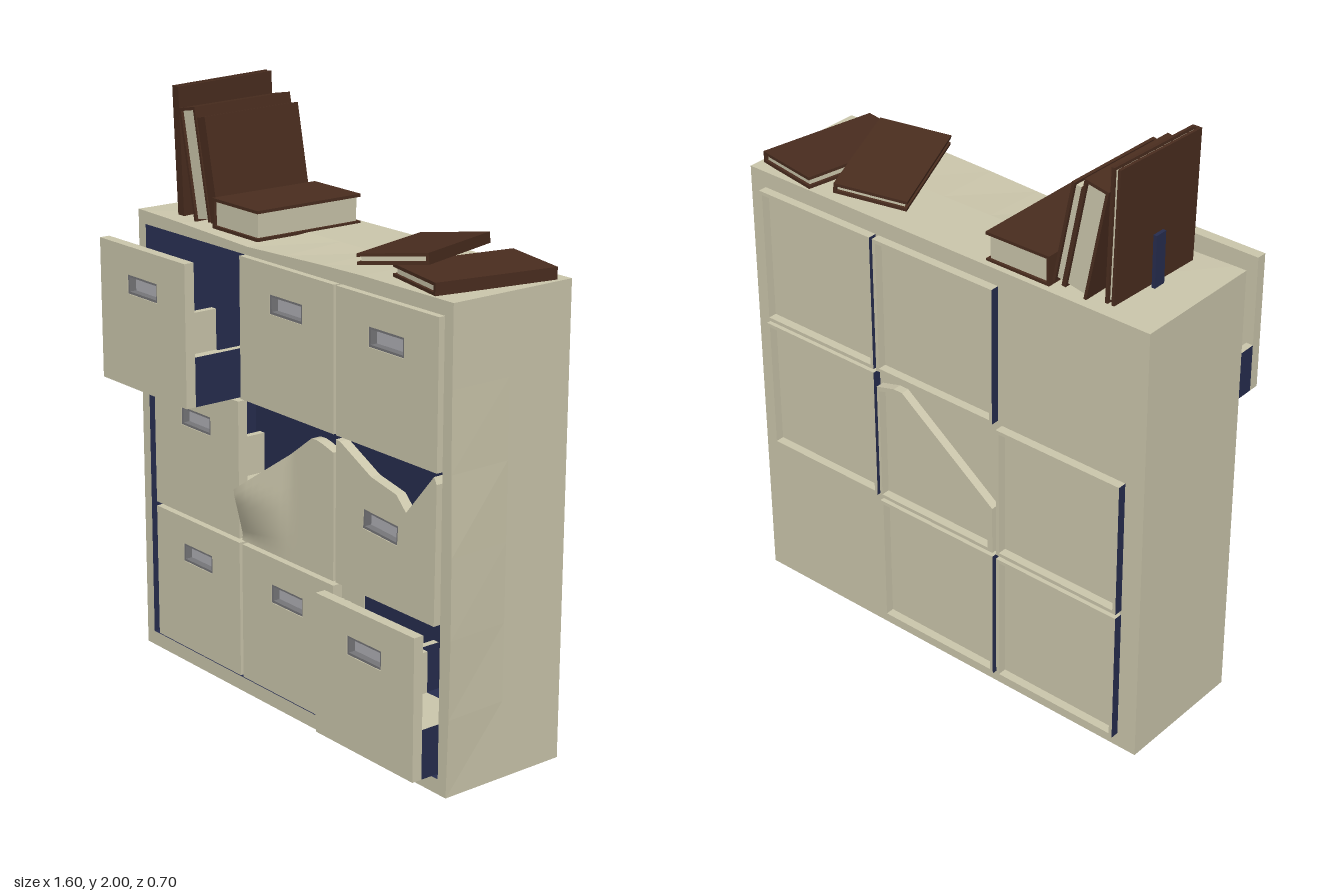
import * as THREE from 'three';

const mat = (color, flatShading = true) => new THREE.MeshStandardMaterial({ color, flatShading });
const beige = mat(0xcdc8ad), smoothBeige = mat(0xcdc8ad, false);
const blue = mat(0x272d4f), brown = mat(0x4a2d1f), grey = mat(0xb0b0b6), darkGrey = mat(0x77777a);

function add(parent, name, geometry, material, x = 0, y = 0, z = 0) {
  const mesh = new THREE.Mesh(geometry, material);
  mesh.name = name;
  mesh.position.set(x, y, z);
  parent.add(mesh);
  return mesh;
}

// Box given by its limits; `blueFaces` lists the blue sides (+x, -x, +y, -y, +z, -z = 0..5)
function slab(parent, name, [x0, x1], [y0, y1], [z0, z1], blueFaces = [], seg = [1, 1, 1]) {
  const mats = [0, 1, 2, 3, 4, 5].map((i) => (blueFaces.includes(i) ? blue : beige));
  return add(parent, name, new THREE.BoxGeometry(x1 - x0, y1 - y0, z1 - z0, ...seg), mats,
    (x0 + x1) / 2, (y0 + y1) / 2, (z0 + z1) / 2);
}

function warp(mesh, rule) {
  const p = mesh.geometry.attributes.position, v = new THREE.Vector3();
  for (let i = 0; i < p.count; i++) {
    rule(v.fromBufferAttribute(p, i));
    p.setXYZ(i, v.x, v.y, v.z);
  }
  mesh.geometry.computeVertexNormals();
}

// Corners of a rectangle, optionally turned about its centre
function rect(cx, cy, w, h, turn = 0) {
  return [[-1, -1], [1, -1], [1, 1], [-1, 1]].map(([i, j]) =>
    new THREE.Vector2(i * w / 2, j * h / 2).rotateAround(new THREE.Vector2(), turn).add(new THREE.Vector2(cx, cy)));
}

function plate(points, depth, holes = []) {
  const shape = new THREE.Shape(points);
  holes.forEach((h) => shape.holes.push(new THREE.Path(h)));
  return new THREE.ExtrudeGeometry(shape, { depth, bevelEnabled: false });
}

const toPoints = (list) => list.map(([x, y]) => new THREE.Vector2(x, y));
const COLS = [[-0.73, -0.255], [-0.24, 0.238], [0.25, 0.722]];
const ROWS = [[1.025, 1.5], [0.54, 1.012], [0.052, 0.525]];
const BACK = -0.35, WALL = -0.32, FRONT = 0.146, THICK = 0.036;

// Torn edges of the two broken drawers
const tearMiddle = toPoints([[-0.24, 0.71], [-0.2, 0.74], [0.07, 0.94], [0.13, 0.985], [0.165, 0.985], [0.238, 0.965]]);
const tornRight = toPoints([[0.25, 0.54], [0.718, 0.54], [0.722, 0.99], [0.71, 1.012], [0.585, 0.865],
  [0.54, 0.91], [0.42, 0.935], [0.27, 1.01], [0.25, 1.012]]);

function tearHeight(x) {
  const i = Math.max(1, tearMiddle.findIndex((p) => p.x >= x - 1e-6));
  const a = tearMiddle[i - 1], b = tearMiddle[i];
  return THREE.MathUtils.mapLinear(x, a.x, b.x, a.y, b.y);
}

// Torn front whose free corner curls outwards
function bentFront(parent, z) {
  const front = add(parent, 'bentDrawerFront', new THREE.BoxGeometry(1, 1, THICK, 16, 10, 1), smoothBeige, 0, 0, z);
  const clamp = (t) => THREE.MathUtils.clamp(t, 0, 1);
  warp(front, (v) => {
    const h = v.y + 0.5;
    v.x = THREE.MathUtils.lerp(-0.24 + 0.04 * h, 0.238, v.x + 0.5);
    v.y = 0.54 + h * (tearHeight(v.x) - 0.54);
    v.z += 0.062 * clamp((0.02 - v.x) / 0.21) * clamp((v.y - 0.56) / 0.17);
  });
}

function drawer(col, row, pull) {
  const g = new THREE.Group();
  g.name = `drawer${row * 3 + col + 1}`;
  const [x0, x1] = COLS[col], [y0, y1] = ROWS[row];
  const broken = row === 1 && col === 1, torn = row === 1 && col === 2;
  const cx = (x0 + x1) / 2, zf = FRONT - THICK;

  if (broken) {
    bentFront(g, FRONT - THICK / 2);
  } else {
    // Front with a recessed label holder
    const outline = torn ? tornRight : rect(cx, (y0 + y1) / 2, x1 - x0, y1 - y0);
    const lx = torn ? 0.465 : cx, ly = torn ? 0.785 : y0 + 0.348, turn = torn ? -0.07 : 0;
    const outer = rect(lx, ly, 0.165, 0.064, turn), inner = rect(lx, ly, 0.149, 0.048, turn);
    add(g, 'drawerFront', plate(outline, THICK, [outer]), beige, 0, 0, zf);
    add(g, 'labelFrame', plate(outer, 0.025, [inner]), darkGrey, 0, 0, zf + 0.008);
    add(g, 'label', plate(outer, 0.008), grey, 0, 0, zf);
  }

  // Tray: floor and low sides
  const h = 0.165, t = 0.025, inside = [WALL + 0.02, zf];
  slab(g, 'trayFloor', [x0 + t, x1 - t], [y0, y0 + 0.02], inside, [3]);
  slab(g, 'traySide', [x0, x0 + t], [y0, y0 + h], inside, [1]);
  slab(g, 'traySide', [x1 - t, x1], [y0, y0 + h], inside, [0]);

  // Rim standing out of the cabinet's back behind each closed drawer
  const w = 0.012, rimZ = [BACK, WALL + 0.005];
  if (broken) {
    const centre = new THREE.Vector2(0.08, 0.74);
    const edge = [...toPoints([[0.238, 0.54], [-0.24, 0.54]]), ...tearMiddle].reverse();
    const hole = edge.map((p) => p.clone().lerp(centre, 0.06));
    add(g, 'tornRim', plate(edge, rimZ[1] - BACK, [hole]), beige, 0, 0, BACK);
  } else if (!pull) {
    slab(g, 'rimSide', [x0, x0 + w], [y0, y1], rimZ, [1]);
    slab(g, 'rimSide', [x1 - w, x1], [y0, y1], rimZ, col === 2 ? [] : [0]);
    slab(g, 'rimBottom', [x0 + w, x1 - w], [y0, y0 + w], rimZ);
    slab(g, 'rimTop', [x0 + w, x1 - w], [y1 - w, y1], rimZ);
  }
  g.position.z = pull;
  return g;
}

// Book: thickness along `normal`, spine facing `spine`; then turned by rx, ry and rz
function book(name, [T, W, L], spine, normal, pos, [rx, ry, rz]) {
  const g = new THREE.Group(), body = new THREE.Group(), c = 0.01;
  g.name = name;
  body.name = 'bookBody';
  for (const s of [-1, 1]) add(body, 'cover', new THREE.BoxGeometry(W, c, L), brown, 0, s * (T - c) / 2, 0);
  add(body, 'spine', new THREE.BoxGeometry(c, T - 2 * c, L), brown, -(W - c) / 2, 0, 0);
  add(body, 'pages', new THREE.BoxGeometry(W - c - 0.01, T - 2 * c, L - 0.02), beige, c / 2 - 0.005, 0, 0);
  const X = new THREE.Vector3(...spine).negate(), Y = new THREE.Vector3(...normal);
  body.quaternion.setFromRotationMatrix(new THREE.Matrix4().makeBasis(X, Y, X.clone().cross(Y)));
  g.add(body);
  g.rotation.set(rx, ry, rz, 'ZYX');
  g.position.set(...pos);
  return g;
}

export function createModel() {
  const model = new THREE.Group();
  model.name = 'drawerCabinet';

  // Cabinet shell, beige outside and blue inside
  const cabinet = new THREE.Group();
  cabinet.name = 'cabinet';
  model.add(cabinet);
  const inZ = [-0.305, 0.147];
  slab(cabinet, 'rightSide', [-0.8, -0.76], [0, 1.555], inZ, [0]);
  const side = slab(cabinet, 'leftSide', [0.748, 0.785], [0, 1.555], inZ, [1], [1, 6, 2]);
  warp(side, (v) => { // worn, slightly bulging front edge
    const y = v.y + 0.7775;
    if (v.x > 0 && v.z > 0.1 && y < 1.1) v.x += 0.011 * Math.sin(Math.PI * y / 1.1);
  });
  const top = slab(cabinet, 'top', [-0.76, 0.748], [1.51, 1.555], inZ, [3], [8, 1, 2]);
  warp(top, (v) => { // dented front edge
    if (v.y > 0 && v.z > 0.1) v.y -= 0.018 * Math.max(0, 1 - Math.abs(v.x + 0.19) / 0.5);
  });
  slab(cabinet, 'base', [-0.76, 0.748], [0, 0.05], inZ, [2]);
  slab(cabinet, 'backWall', [-0.8, 0.785], [0, 1.555], [WALL, inZ[0]], [4]);
  slab(cabinet, 'backPatch', [-0.76, -0.15], [0.05, 0.5], [-0.305, -0.3]);

  // Nine drawers, two of them pulled out
  for (let row = 0; row < 3; row++) {
    for (let col = 0; col < 3; col++) {
      const pull = row === 0 && col === 0 ? 0.203 : row === 2 && col === 2 ? 0.08 : 0;
      model.add(drawer(col, row, pull));
    }
  }

  // Books on top
  const px = [1, 0, 0], py = [0, 1, 0], pz = [0, 0, 1], nx = [-1, 0, 0];
  model.add(
    book('uprightBook', [0.033, 0.38, 0.43], pz, px, [-0.627, 1.7775, -0.087], [0.035, 0, 0]),
    book('leaningThickBook', [0.088, 0.375, 0.39], py, px, [-0.535, 1.743, -0.09], [0.02, 0, 0.18]),
    book('leaningThinBook', [0.045, 0.38, 0.345], pz, px, [-0.468, 1.735, -0.09], [0.02, 0, 0.18]),
    book('flatThickBook', [0.1, 0.24, 0.42], nx, py, [-0.295, 1.603, -0.088], [0, 0, -0.01]),
    book('flatBook', [0.04, 0.245, 0.42], px, py, [0.612, 1.577, -0.09], [0, -0.18, -0.02]),
    book('tiltedBook', [0.035, 0.24, 0.425], px, py, [0.383, 1.606, -0.09], [0, 0.4, 0.13]),
  );
  add(model, 'bookend', new THREE.BoxGeometry(0.012, 0.175, 0.045), blue, -0.652, 1.642, -0.088);

  return model;
}
